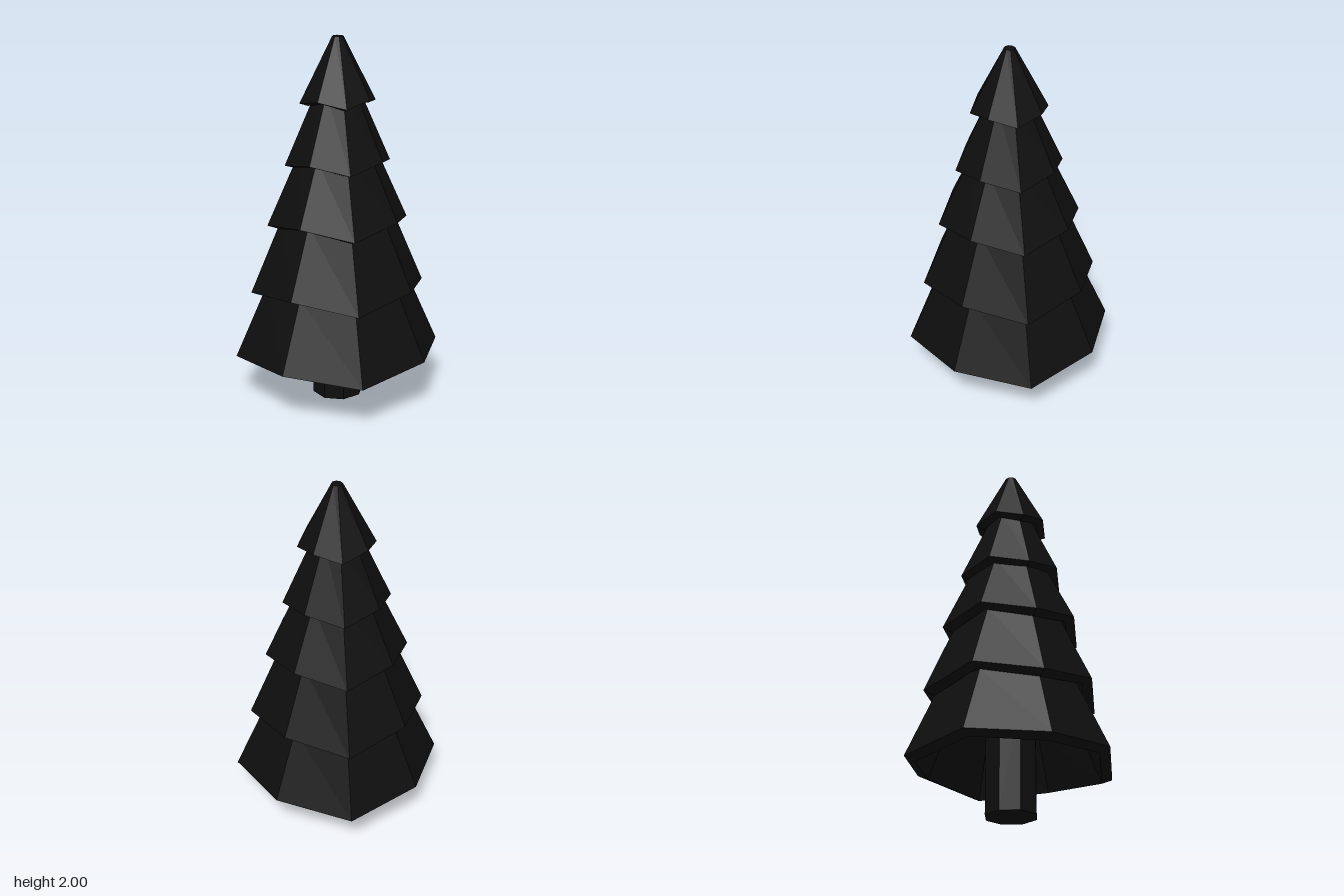
import * as THREE from 'three';

const SIDES = 8;

// Octagonal ring; the diagonal corners are pulled in slightly and lifted.
function ring(radius, y, lift = 0) {
  return Array.from({ length: SIDES }, (_, i) => {
    const a = (i / SIDES) * Math.PI * 2;
    const diagonal = i % 2 === 1;
    const r = radius * (diagonal ? 0.957 : 1);
    return [Math.sin(a) * r, y + (diagonal ? lift : 0), Math.cos(a) * r];
  });
}

// Skin a stack of rings (top to bottom) with flat triangles.
function skin(rings) {
  const pos = [];
  for (let k = 0; k < rings.length - 1; k++) {
    const upper = rings[k], lower = rings[k + 1];
    for (let i = 0; i < SIDES; i++) {
      const j = (i + 1) % SIDES;
      pos.push(...upper[i], ...lower[i], ...lower[j]);
      pos.push(...upper[i], ...lower[j], ...upper[j]);
    }
  }
  const geo = new THREE.BufferGeometry();
  geo.setAttribute('position', new THREE.Float32BufferAttribute(pos, 3));
  geo.computeVertexNormals();
  return geo;
}

export function createModel() {
  const tree = new THREE.Group();
  tree.name = 'pineTree';
  const nearBlack = new THREE.MeshStandardMaterial({ color: 0x0e0e0e, flatShading: true });
  nearBlack.name = 'nearBlack';

  const add = (name, geo) => {
    const mesh = new THREE.Mesh(geo, nearBlack);
    mesh.name = name;
    tree.add(mesh);
    return mesh;
  };

  // Trunk, running up into the hollow bottom tier
  add('trunk', new THREE.CylinderGeometry(0.14, 0.14, 0.62, SIDES)).position.y = 0.31;

  // Branch tiers: top radius/height, rim radius/height, lip radius/height,
  // corner lift, hollow radius/height
  const tiers = [
    [0.03, 2.0, 0.205, 1.655, 0.16, 1.64, 0.03, 0.11, 1.72],
    [0.114, 1.72, 0.287, 1.325, 0.23, 1.31, 0.04, 0.2, 1.39],
    [0.212, 1.385, 0.385, 1.0, 0.33, 0.98, 0.05, 0.28, 1.08],
    [0.3, 1.05, 0.48, 0.625, 0.42, 0.605, 0.055, 0.37, 0.71],
    [0.39, 0.67, 0.57, 0.26, 0.51, 0.235, 0.035, 0.36, 0.58],
  ];
  tiers.forEach(([rTop, yTop, rRim, yRim, rLip, yLip, lift, rIn, yIn], n) => {
    add(`branchTier${n + 1}`, skin([
      ring(0, yTop),
      ring(rTop, yTop),
      ring(rRim, yRim, lift),
      ring(rLip, yLip, lift),
      ring(rIn, yIn),
      ring(0, yIn),
    ]));
  });

  return tree;
}
